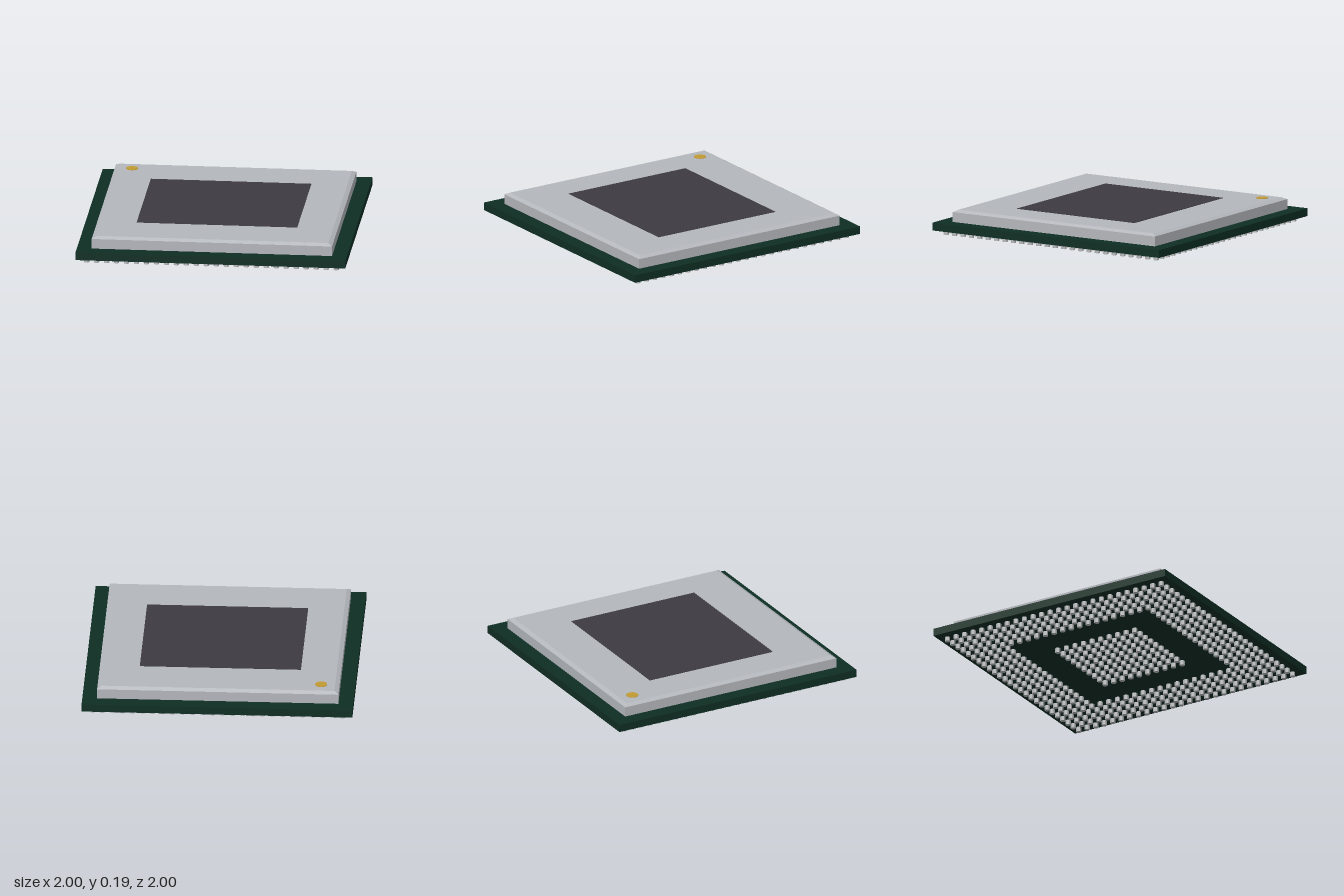
import * as THREE from 'three';
import { mergeGeometries } from 'three/addons/utils/BufferGeometryUtils.js';

const material = (name, color) => {
  const m = new THREE.MeshStandardMaterial({ color });
  m.name = name;
  return m;
};

export function createModel() {
  const model = new THREE.Group();
  model.name = 'chipPackage';

  const green = material('boardGreen', 0x0f2e24);
  const silver = material('lidSilver', 0xb4b7bc);
  const dark = material('dieGrey', 0x3d3b41);
  const gold = material('markerGold', 0xc29a32);
  const solder = material('solderGrey', 0xb9bbbd);

  const add = (name, geometry, mat, x, y, z) => {
    const mesh = new THREE.Mesh(geometry, mat);
    mesh.name = name;
    mesh.position.set(x, y, z);
    model.add(mesh);
    return mesh;
  };

  // Circuit board
  add('board', new THREE.BoxGeometry(2, 0.058, 2), green, 0, 0.064, 0);

  // Metal lid: straight walls below a chamfered rim
  const half = 0.891, inset = 0.03, wall = 0.074, rim = 0.016;
  add('lidBody', new THREE.BoxGeometry(2 * half, wall, 2 * half), silver, 0, 0.093 + wall / 2, 0);
  const chamfer = new THREE.CylinderGeometry(
    (half - inset) * Math.SQRT2, half * Math.SQRT2, rim, 4, 1).toNonIndexed();
  chamfer.rotateY(Math.PI / 4);
  chamfer.computeVertexNormals();
  add('lidChamfer', chamfer, silver, 0, 0.093 + wall + rim / 2, 0);

  // Die window and corner marker, thin plates on the lid
  const top = 0.093 + wall + rim;
  add('die', new THREE.BoxGeometry(1.19, 0.003, 1.036), dark, 0, top + 0.0015, 0);
  add('cornerMarker', new THREE.CylinderGeometry(0.045, 0.045, 0.003, 24), gold, -0.757, top + 0.0015, -0.757);

  // Solder contacts: a five-deep outer band and a central block
  const count = 26, pitch = 0.074, band = 5, core = 8;
  const contact = new THREE.CylinderGeometry(0.02, 0.02, 0.036, 6).toNonIndexed();
  contact.rotateY(Math.PI / 6);
  contact.computeVertexNormals();
  const contacts = [];
  for (let i = 0; i < count; i++) {
    for (let j = 0; j < count; j++) {
      const ring = Math.min(i, j, count - 1 - i, count - 1 - j);
      if (ring >= band && ring < core) continue;
      contacts.push(contact.clone().translate(
        (i - (count - 1) / 2) * pitch, 0.018, (j - (count - 1) / 2) * pitch));
    }
  }
  add('solderContacts', mergeGeometries(contacts), solder, 0, 0, 0);

  return model;
}
